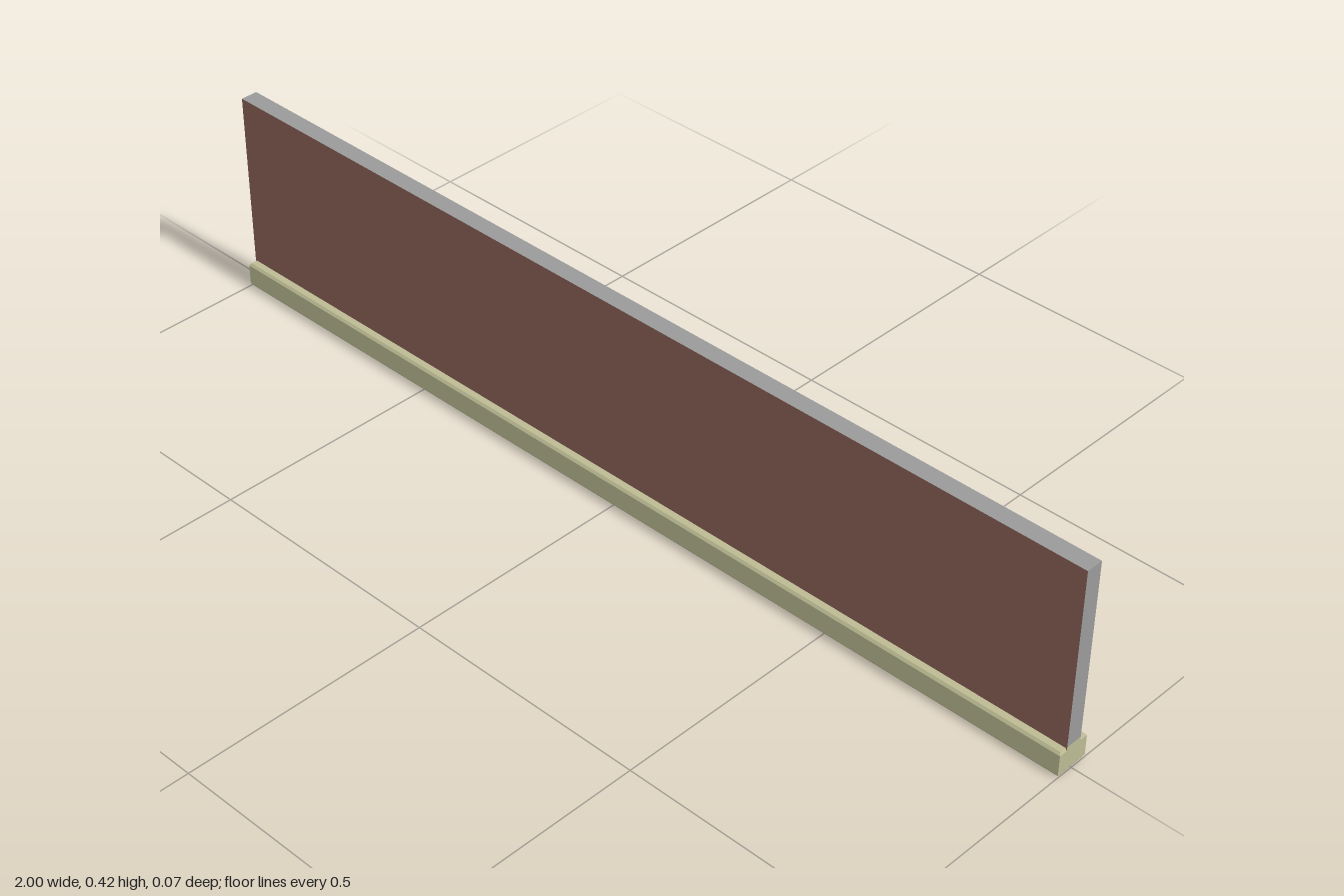
import * as THREE from 'three';

const material = (name, color, side = THREE.FrontSide) =>
  Object.assign(new THREE.MeshStandardMaterial({ color, side }), { name });

export function createModel() {
  const group = new THREE.Group();
  const brick = material('brick brown', 0x8c6359);
  const stone = material('stone beige', 0xbcbb93);
  const concrete = material('concrete grey', 0x9a9a9a);

  const box = (name, y0, y1, halfDepth, materials) => {
    const mesh = new THREE.Mesh(new THREE.BoxGeometry(2, y1 - y0, halfDepth * 2), materials);
    mesh.name = name;
    mesh.position.y = (y0 + y1) / 2;
    group.add(mesh);
  };

  // Wall panel: brown faces, grey ends and top
  box('wallPanel', 0.055, 0.418, 0.0175, [concrete, concrete, concrete, concrete, brick, brick]);
  // Foot of the wall, beige at the ends
  box('wallFoot', 0.04, 0.055, 0.0175, [stone, stone, stone, stone, brick, brick]);

  // Plinth with chamfered top and bottom edges: [y, half length, half depth]
  const rings = [
    [0, 0.997, 0.031],
    [0.006, 1, 0.035],
    [0.047, 1, 0.035],
    [0.052, 0.997, 0.031],
  ];
  const corners = ([y, hx, hz]) => [[-hx, y, hz], [hx, y, hz], [hx, y, -hz], [-hx, y, -hz]];
  const positions = [];
  const quad = (a, b, c, d) => positions.push(...a, ...b, ...c, ...a, ...c, ...d);
  for (let i = 0; i < rings.length - 1; i++) {
    const low = corners(rings[i]);
    const high = corners(rings[i + 1]);
    for (let k = 0; k < 4; k++) {
      const n = (k + 1) % 4;
      quad(low[k], low[n], high[n], high[k]);
    }
  }
  quad(...corners(rings[3]));
  const sideCount = positions.length / 3;
  quad(...corners(rings[0]).reverse());

  const geometry = new THREE.BufferGeometry();
  geometry.setAttribute('position', new THREE.Float32BufferAttribute(positions, 3));
  geometry.computeVertexNormals();
  // Beige sides and top, grey underside
  geometry.addGroup(0, sideCount, 0);
  geometry.addGroup(sideCount, 6, 1);
  const plinth = new THREE.Mesh(geometry, [stone, concrete]);
  plinth.name = 'plinth';
  group.add(plinth);

  return group;
}
